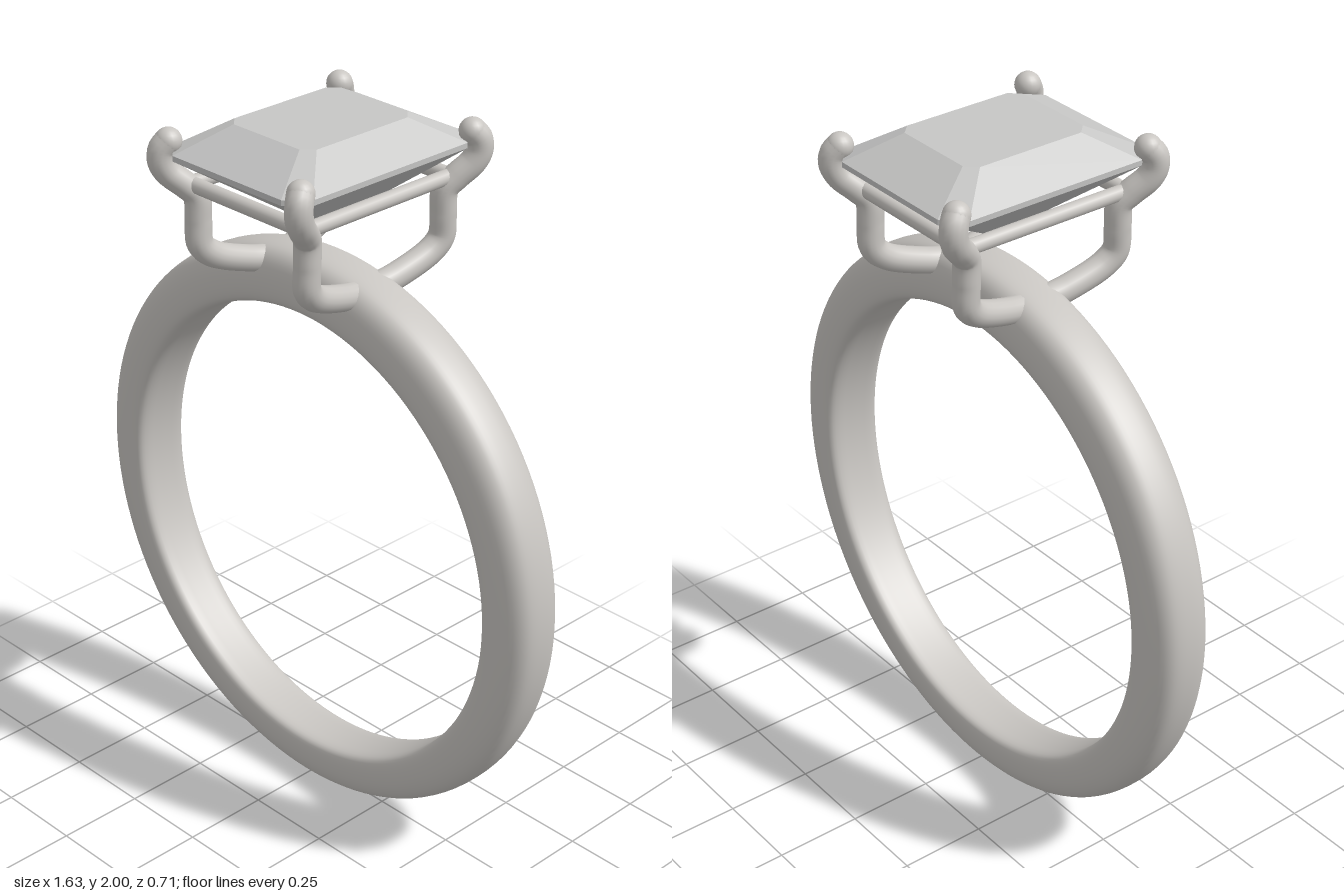
import * as THREE from 'three';

const metal = new THREE.MeshStandardMaterial({ color: 0xc9c6c2 });
metal.name = 'polished metal';
const stone = new THREE.MeshStandardMaterial({ color: 0xc6c6c5, flatShading: true });
stone.name = 'clear stone';

const vec = (p) => new THREE.Vector3(...p);

function add(parent, geometry, material, name) {
  const mesh = new THREE.Mesh(geometry, material);
  mesh.name = name;
  parent.add(mesh);
  return mesh;
}

// Band: a domed section swept round, slightly thicker and wider at the top
function bandGeometry() {
  // [across, inner-to-outer] for one half of the section
  const half = [[0, 1], [0.35, 0.985], [0.62, 0.93], [0.82, 0.81], [0.95, 0.62], [1, 0.4],
    [0.99, 0.2], [0.92, 0.07], [0.72, 0.005], [0.3, 0], [0, 0]];
  const mirrored = half.slice(1, -1).reverse().map(([z, v]) => [-z, v]);
  const section = new THREE.CatmullRomCurve3(
    [...half, ...mirrored].map(([z, v]) => new THREE.Vector3(z, v, 0)), true);
  const around = 128, across = 48, positions = [], index = [];
  const profile = section.getPoints(across).slice(0, across);
  for (let i = 0; i < around; i++) {
    const a = (i / around) * Math.PI * 2;
    const c = Math.cos(a), s = Math.sin(a);
    const outer = 0.8175, inner = 0.668 - 0.01 * s;
    const width = 0.0875 + 0.0065 * s;
    for (let j = 0; j < across; j++) {
      const r = inner + (outer - inner) * profile[j].y;
      positions.push(r * c, 0.8175 + r * s, profile[j].x * width);
      const i2 = (i + 1) % around, j2 = (j + 1) % across;
      const p = i * across + j, q = i2 * across + j, t = i * across + j2, u = i2 * across + j2;
      index.push(p, q, t, q, u, t);
    }
  }
  const g = new THREE.BufferGeometry();
  g.setAttribute('position', new THREE.Float32BufferAttribute(positions, 3));
  g.setIndex(index);
  g.computeVertexNormals();
  return g;
}

// Stone: stacked rectangles with clipped corners, ending in a point
function stoneGeometry() {
  // [y, half width, half depth, corner clip]
  const levels = [[2, 0, 0, 0], [2, 0.15, 0.19, 0.03], [1.93, 0.255, 0.328, 0.055],
    [1.915, 0.255, 0.328, 0.055], [1.7, 0, 0, 0]];
  const loops = levels.map(([y, w, d, k]) => [
    [w, d - k], [w - k, d], [k - w, d], [-w, d - k],
    [-w, k - d], [k - w, -d], [w - k, -d], [w, k - d],
  ].map(([x, z]) => [x, y, z]));
  const positions = [];
  for (let l = 0; l < loops.length - 1; l++) {
    const top = loops[l], low = loops[l + 1];
    for (let i = 0; i < 8; i++) {
      const n = (i + 1) % 8;
      if (l > 0) positions.push(...top[i], ...low[i], ...top[n]);
      if (l < loops.length - 2) positions.push(...top[n], ...low[i], ...low[n]);
    }
  }
  // Reverse each triangle so the faces look outward
  for (let t = 0; t < positions.length; t += 9) {
    const [a, b, c] = [0, 3, 6].map((o) => vec(positions.slice(t + o, t + o + 3)));
    const normal = b.clone().sub(a).cross(c.clone().sub(a));
    const middle = a.clone().add(b).add(c).divideScalar(3).sub(new THREE.Vector3(0, 1.92, 0));
    if (normal.dot(middle) < 0) {
      positions.splice(t + 3, 6, ...c.toArray(), ...b.toArray());
    }
  }
  const g = new THREE.BufferGeometry();
  g.setAttribute('position', new THREE.Float32BufferAttribute(positions, 3));
  g.computeVertexNormals();
  return g;
}

// Prong: rises from the band, bends outward and folds over a stone corner
function addProng(parent, sx, sz, name) {
  const prong = new THREE.Group();
  prong.name = name;
  const path = [[0.165, 1.575, 0.04], [0.175, 1.588, 0.1], [0.192, 1.63, 0.21],
    [0.2, 1.665, 0.242], [0.203, 1.73, 0.244], [0.206, 1.8, 0.246], [0.222, 1.83, 0.27],
    [0.246, 1.868, 0.306], [0.254, 1.9, 0.32], [0.253, 1.93, 0.318], [0.243, 1.952, 0.303]]
    .map(([x, y, z]) => new THREE.Vector3(x * sx, y, z * sz));
  const r = 0.036;
  add(prong, new THREE.TubeGeometry(new THREE.CatmullRomCurve3(path), 64, r, 16), metal, 'prongStem');
  add(prong, new THREE.SphereGeometry(r, 20, 14), metal, 'prongTip').position.copy(path.at(-1));
  parent.add(prong);
}

// Rail: a straight rod between two prongs
function addRail(parent, from, to, name) {
  const a = vec(from), b = vec(to);
  const rail = add(parent, new THREE.CylinderGeometry(0.021, 0.021, a.distanceTo(b), 16), metal, name);
  rail.position.copy(a).add(b).divideScalar(2);
  rail.quaternion.setFromUnitVectors(new THREE.Vector3(0, 1, 0), b.sub(a).normalize());
}

export function createModel() {
  const model = new THREE.Group();
  model.name = 'ring';
  add(model, bandGeometry(), metal, 'band');
  add(model, stoneGeometry(), stone, 'stone');

  const setting = new THREE.Group();
  setting.name = 'setting';
  model.add(setting);
  const x = 0.212, y = 1.832, z = 0.258;
  for (const s of [1, -1]) {
    const end = s > 0 ? 'front' : 'back';
    addProng(setting, 1, s, end + 'LeftProng');
    addProng(setting, -1, s, end + 'RightProng');
    addRail(setting, [-x, y, s * z], [x, y, s * z], end + 'Rail');
    addRail(setting, [s * x, y, -z], [s * x, y, z], (s > 0 ? 'left' : 'right') + 'Rail');
  }
  return model;
}
